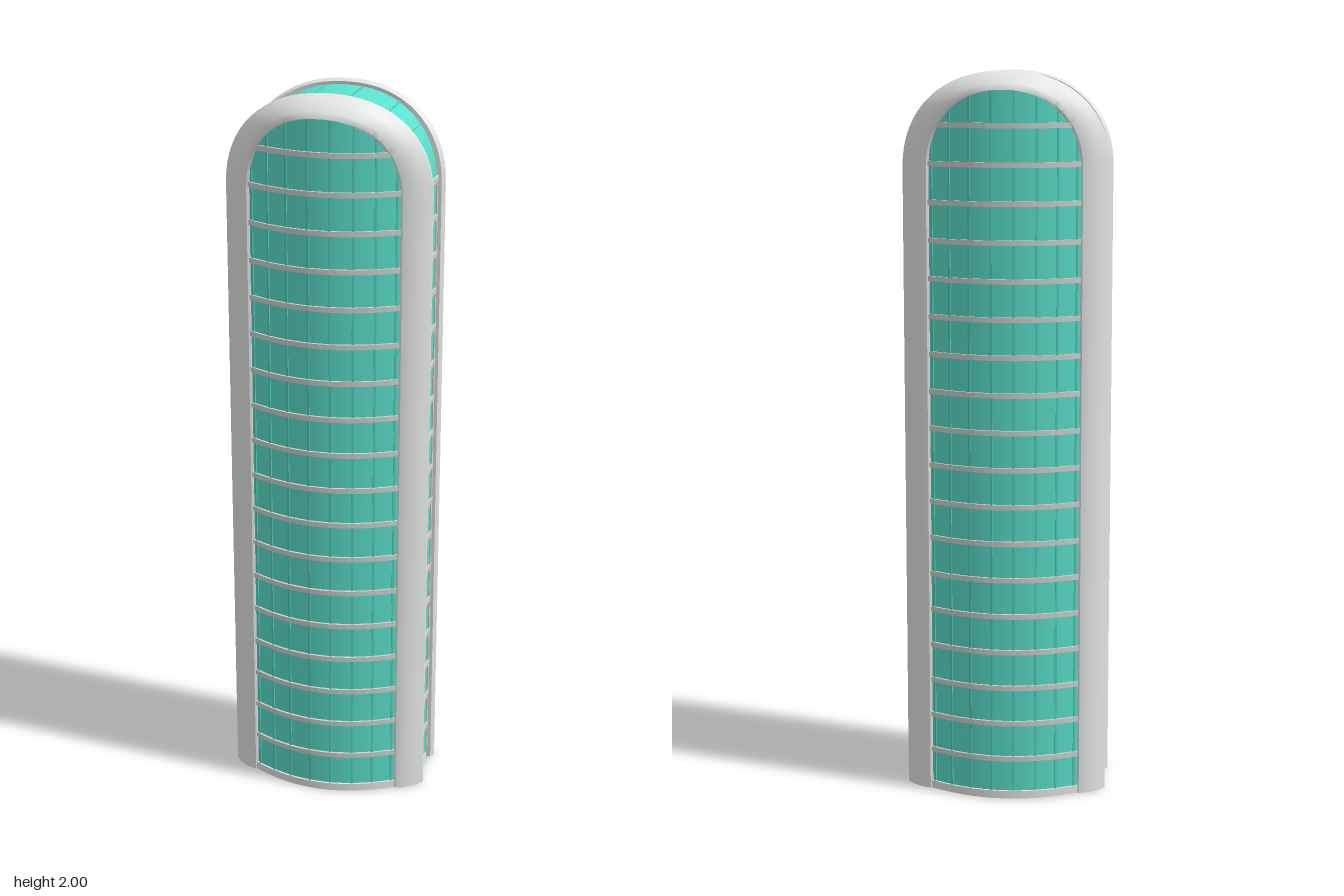
import * as THREE from 'three';
import { toCreasedNormals } from 'three/addons/utils/BufferGeometryUtils.js';

const SPRING = 1.74, POWER = 2.2;          // where the rounded top starts, and its squareness
const FLOORS = 18, FLOOR_STEP = 0.1025, FIRST_FLOOR = 0.11;
const halfWidth = (d) => 0.28 - d;         // outline inset by d
const rise = (d) => 2 - 0.65 * d - SPRING;
const frontZ = (x) => 0.19 - 1.5 * x * x;  // bowed plan of the main facades
const sideZ = (x) => 0.095 - 0.38 * x * x; // inner edge of the arched frames

// height of the inset arch at x, and its half width at height y
const archY = (x, d) =>
  SPRING + rise(d) * Math.pow(Math.max(0, 1 - Math.pow(Math.abs(x) / halfWidth(d), POWER)), 1 / POWER);
const archX = (y, d) => y <= SPRING ? halfWidth(d) :
  halfWidth(d) * Math.pow(Math.max(0, 1 - Math.pow((y - SPRING) / rise(d), POWER)), 1 / POWER);

// station s = 0..n along the outline: up one side, over the top, down the other
function outline(s, n, d) {
  const side = s === 0 ? 1 : -1;
  if (s === 0 || s === n) return [side * halfWidth(d), 0];
  const t = Math.PI * (s - 1) / (n - 2), e = 2 / POWER, c = Math.cos(t);
  return [
    halfWidth(d) * Math.sign(c) * Math.pow(Math.abs(c), e),
    SPRING + rise(d) * Math.pow(Math.max(0, Math.sin(t)), e),
  ];
}

// surface through a grid of points
function grid(nu, nv, point, crease) {
  const pos = [], index = [];
  for (let i = 0; i <= nu; i++) for (let j = 0; j <= nv; j++) pos.push(...point(i, j));
  for (let i = 0; i < nu; i++) for (let j = 0; j < nv; j++) {
    const a = i * (nv + 1) + j, b = a + nv + 1;
    index.push(a, b, a + 1, b, b + 1, a + 1);
  }
  const g = new THREE.BufferGeometry();
  g.setAttribute('position', new THREE.Float32BufferAttribute(pos, 3));
  g.setIndex(index);
  return toCreasedNormals(g, crease);
}

// flat plan of [x, z] points raised to a height
function slab(points, height) {
  const shape = new THREE.Shape(points.map(([x, z]) => new THREE.Vector2(x, -z)));
  return new THREE.ExtrudeGeometry(shape, { depth: height, bevelEnabled: false }).rotateX(-Math.PI / 2);
}

function arc(hx, offset, n = 16) {
  return Array.from({ length: n + 1 }, (_, i) => {
    const x = hx * (2 * i / n - 1);
    return [x, frontZ(x) + offset];
  });
}

export function createModel() {
  const mat = (name, color) => Object.assign(new THREE.MeshStandardMaterial({ color }), { name });
  const shell = mat('pale grey frame', 0xe4e7e5);
  const trim = mat('light grey trim', 0xcfd3d1);
  const glass = mat('teal glass', 0x5ae0cb);
  const seam = mat('deeper teal seam', 0x50cbb8);

  const model = new THREE.Group();
  model.name = 'tower';
  const add = (parent, name, geometry, material, x = 0, y = 0, z = 0) => {
    const m = new THREE.Mesh(geometry, material);
    m.name = name;
    m.position.set(x, y, z);
    parent.add(m);
    return m;
  };

  // arched frame section: inset, z at the sides, z at the crown
  const section = [
    [0.04, 0.065, 0.095], [0.008, 0.065, 0.092], [0, 0.075, 0.1], [0, 0.083, 0.115],
    [0.02, 0.105, 0.15], [0.05, 0.125, 0.18], [0.07, 0.13, 0.189], [0.076, 0.127, 0.19],
    [0.08, 0.09, 0.15],
  ];
  const N = 34;
  const frameGeometry = grid(N, section.length - 1, (i, j) => {
    const [d, zSide, zTop] = section[j];
    const [x, y] = outline(i, N, d);
    const k = (x / halfWidth(d)) ** 2;
    return [x, y, zTop + (zSide - zTop) * k];
  }, 0.6);

  // bowed glass wall reaching just under the frame
  const inset = 0.07, columns = 36;
  const glassGeometry = grid(columns, 2, (i, j) => {
    const x = halfWidth(inset) * Math.sin(Math.PI * (i / columns - 0.5));
    const top = archY(x, inset);
    return [x, [0, SPRING, top][j], frontZ(x) - 0.004];
  }, 0.5);

  // front and back are the same facade turned around
  for (const [name, turn] of [['frontFacade', 0], ['backFacade', Math.PI]]) {
    const facade = new THREE.Group();
    facade.name = name;
    facade.rotation.y = turn;
    model.add(facade);
    add(facade, 'archedFrame', frameGeometry, shell);
    add(facade, 'glassWall', glassGeometry, glass);

    // floor bands
    for (let k = 0; k < FLOORS; k++) {
      const y = FIRST_FLOOR + k * FLOOR_STEP;
      const hx = archX(y, 0.074);
      const band = [...arc(hx, 0.003), ...arc(hx, -0.012).reverse()];
      add(facade, 'floorBand', slab(band, 0.014), trim, 0, y - 0.001, 0);
    }

    // upright seams between panes
    for (const x of [-0.195, -0.145, -0.09, -0.03, 0.03, 0.09, 0.145, 0.195]) {
      const h = archY(x, 0.074);
      const bar = add(facade, 'paneSeam', new THREE.BoxGeometry(0.006, h, 0.006), seam, x, h / 2, frontZ(x) - 0.004);
      bar.rotation.y = Math.atan(3 * x);
    }
  }

  // glass spine running up the sides and over the top
  const M = 26;
  add(model, 'glassSpine', grid(M, 2, (i, j) => {
    const [x, y] = outline(i, M, 0.021);
    return [x, y, (j - 1) * (sideZ(x) + 0.006)];
  }, 0.5), glass);

  // seams across the rounded top
  for (const x of [-0.21, -0.15, -0.05, 0.05, 0.15, 0.21]) {
    const e = 0.005;
    const bar = add(model, 'roofSeam', new THREE.BoxGeometry(0.004, 0.004, 2 * sideZ(x)), seam, x, archY(x, 0.021) - 0.001, 0);
    bar.rotation.z = Math.atan2(archY(x + e, 0.021) - archY(x - e, 0.021), 2 * e);
  }

  // trim on the narrow sides
  for (const side of [-1, 1]) {
    for (let k = 0; k < FLOORS - 1; k++) {
      add(model, 'sideFloorBand', new THREE.BoxGeometry(0.012, 0.015, 0.132), trim,
        side * 0.258, FIRST_FLOOR + 0.006 + k * FLOOR_STEP, 0);
    }
    for (const z of [-0.058, 0.058]) {
      add(model, 'sideMullion', new THREE.BoxGeometry(0.01, SPRING, 0.01), trim, side * 0.258, SPRING / 2, z);
    }
  }

  // base plate closing the underside
  const corner = [[0.23, 0.125], [0.26, 0.105], [0.28, 0.083], [0.28, 0.075], [0.272, 0.065], [0.262, 0.065]];
  const half = [...corner.map(([x, z]) => [-x, z]).reverse(), ...arc(0.205, 0.002), ...corner];
  add(model, 'basePlate', slab([...half, ...half.map(([x, z]) => [-x, -z])], 0.022), shell);

  return model;
}
